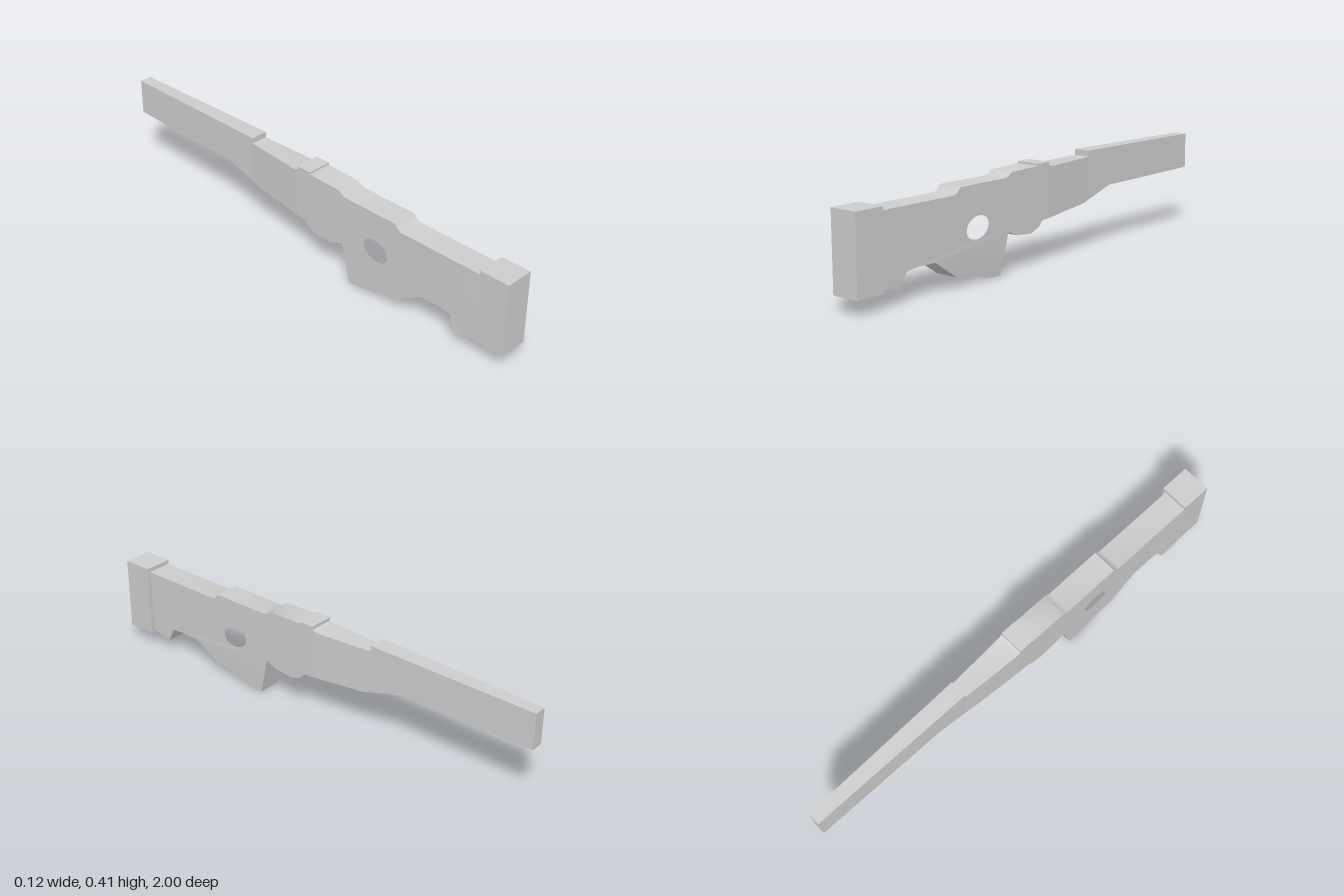
import * as THREE from 'three';
import { toCreasedNormals } from 'three/addons/utils/BufferGeometryUtils.js';

const grey = new THREE.MeshStandardMaterial({ color: 0xcccccc });
grey.name = 'plain grey';

// Extrudes a [z, y] side profile across x; bounds(z, y) gives the two x limits.
function slab(name, profile, bounds, hole) {
  const shape = new THREE.Shape(profile.map(([z, y]) => new THREE.Vector2(-z, y)));
  if (hole) shape.holes.push(hole);
  const geo = new THREE.ExtrudeGeometry(shape, { depth: 1, bevelEnabled: false, curveSegments: 32 });
  geo.rotateY(Math.PI / 2);
  const p = geo.attributes.position;
  for (let i = 0; i < p.count; i++) {
    const [a, b] = bounds(p.getZ(i), p.getY(i));
    p.setX(i, THREE.MathUtils.lerp(a, b, p.getX(i)));
  }
  const mesh = new THREE.Mesh(toCreasedNormals(geo, 0.8), grey);
  mesh.name = name;
  return mesh;
}

// Linear side taper between two stations along z.
const taper = (z0, a0, b0, z1, a1, b1) => (z) => {
  const t = (z - z0) / (z1 - z0);
  return [a0 + (a1 - a0) * t, b0 + (b1 - b0) * t];
};

export function createModel() {
  const group = new THREE.Group();

  // Square end block
  const block = new THREE.Mesh(new THREE.BoxGeometry(0.12, 0.305, 0.125), grey);
  block.position.set(0.002, 0.2155, 0.9375);
  block.name = 'endBlock';
  group.add(block);

  // Main body with tilted oval opening and lower grip
  const hole = new THREE.Path();
  hole.absellipse(-0.39, 0.213, 0.06, 0.043, 0, Math.PI * 2, true, 0.2);
  const body = [
    [0.876, 0.35], [0.51, 0.35], [0.495, 0.357], [0.48, 0.375], [0.23, 0.375],
    [0.215, 0.382], [0.2, 0.393], [0.045, 0.397], [0.045, 0.405], [-0.02, 0.405],
    [-0.02, 0.183], [0.02, 0.18], [0.045, 0.155], [0.09, 0.139], [0.17, 0.146],
    [0.22, 0.166], [0.26, 0.003], [0.34, 0.012], [0.41, 0.036], [0.5, 0.045],
    [0.56, 0.085], [0.615, 0.121], [0.7, 0.123], [0.755, 0.116], [0.785, 0.055], [0.876, 0.073],
  ];
  group.add(slab('body', body, (z, y) => {
    const low = THREE.MathUtils.clamp((0.12 - y) / 0.12, 0, 1);
    const foot = z > 0.77 && y < 0.1;
    return [foot ? -0.062 : -0.055, 0.048 - 0.008 * low];
  }, hole));

  // Tapered neck
  group.add(slab('neck', [
    [-0.02, 0.391], [-0.04, 0.385], [-0.29, 0.39],
    [-0.29, 0.214], [-0.26, 0.205], [-0.02, 0.183],
  ], taper(-0.02, -0.055, 0.048, -0.29, -0.04, 0.032)));

  // Long narrow bar
  group.add(slab('bar', [
    [-0.29, 0.414], [-1, 0.405], [-1, 0.256], [-0.43, 0.255], [-0.29, 0.214],
  ], taper(-0.29, -0.04, 0.032, -1, -0.03, 0.022)));

  return group;
}
